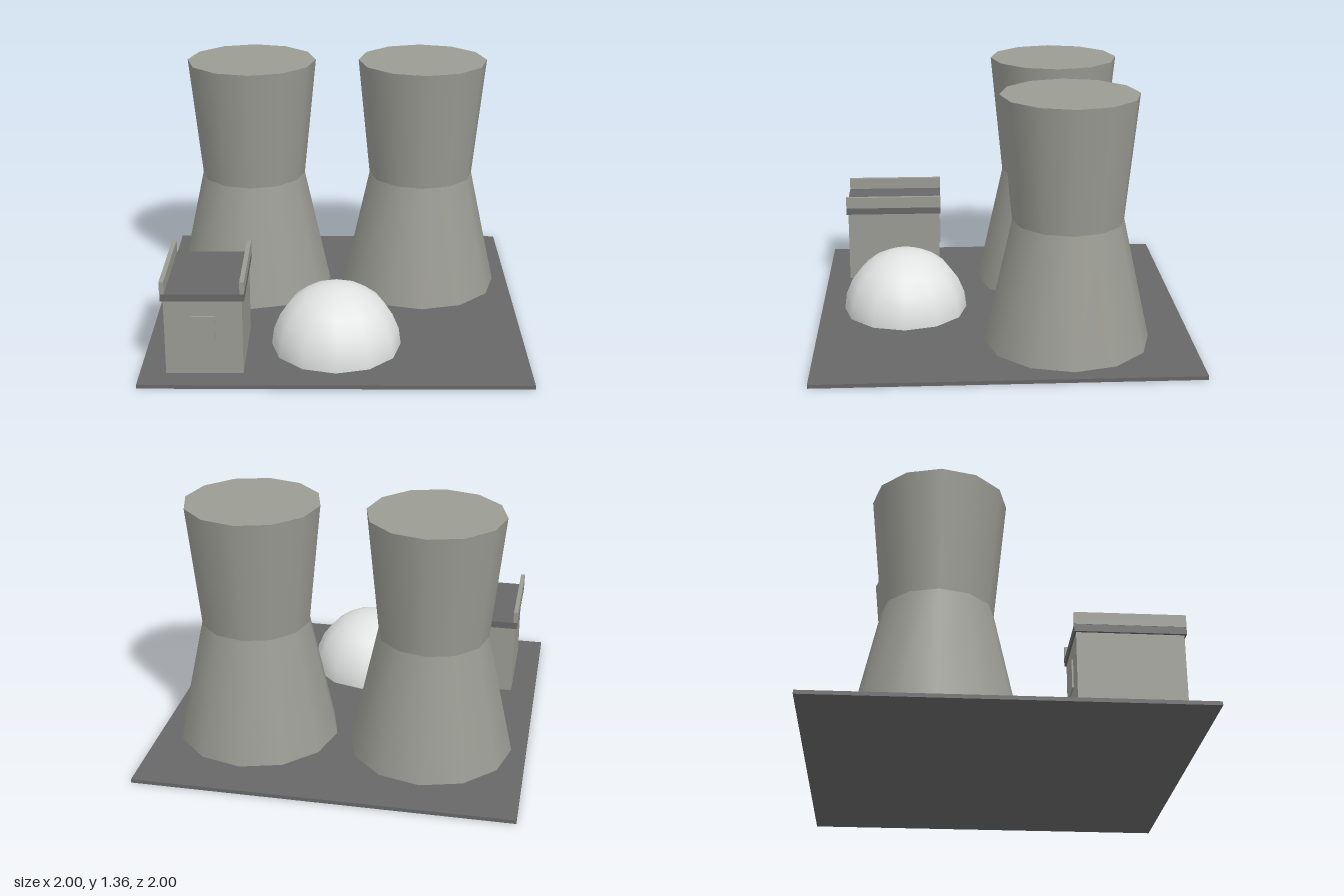
import * as THREE from 'three';

export function createModel() {
  const model = new THREE.Group();
  const concrete = new THREE.MeshStandardMaterial({ name: 'concrete', color: 0x9a9b93 });
  const asphalt = new THREE.MeshStandardMaterial({ name: 'asphalt', color: 0x676767 });
  const white = new THREE.MeshStandardMaterial({ name: 'domeWhite', color: 0xe0e3e1 });

  const add = (parent, name, geometry, material, x, y, z) => {
    const mesh = new THREE.Mesh(geometry, material);
    mesh.name = name;
    mesh.position.set(x, y, z);
    parent.add(mesh);
    return mesh;
  };

  // Box given by its minimum and maximum corners
  const box = (parent, name, material, [x0, y0, z0], [x1, y1, z1]) =>
    add(parent, name, new THREE.BoxGeometry(x1 - x0, y1 - y0, z1 - z0), material,
      (x0 + x1) / 2, (y0 + y1) / 2, (z0 + z1) / 2);

  const groundY = 0.02;
  box(model, 'groundSlab', asphalt, [-1, 0, -1], [1, groundY, 1]);

  // Cooling towers: flared skirt, waist crease and widening crown with a flat lid
  const SIDES = 12, waistY = 0.69, topY = 1.355;
  for (const side of [-1, 1]) {
    const tower = new THREE.Group();
    tower.name = side > 0 ? 'leftCoolingTower' : 'rightCoolingTower';
    tower.position.set(side * 0.48, 0, -0.335);
    add(tower, 'towerSkirt',
      new THREE.CylinderGeometry(0.293, 0.44, waistY - groundY, SIDES, 1, true),
      concrete, 0, (waistY + groundY) / 2, 0);
    add(tower, 'towerCrown',
      new THREE.CylinderGeometry(0.36, 0.293, topY - waistY, SIDES, 1, true),
      concrete, 0, (topY + waistY) / 2, 0);
    add(tower, 'towerLid', new THREE.CircleGeometry(0.36, SIDES), concrete, 0, topY, 0)
      .rotation.x = -Math.PI / 2;
    model.add(tower);
  }

  // Reactor dome
  add(model, 'reactorDome',
    new THREE.SphereGeometry(0.343, SIDES, 6, 0, Math.PI * 2, 0, Math.PI / 2),
    white, 0, groundY, 0.53);

  // Control building with overhanging roof, two parapets and a window at each end
  const building = new THREE.Group();
  building.name = 'controlBuilding';
  box(building, 'walls', concrete, [-0.865, groundY, 0.335], [-0.47, 0.425, 0.87]);
  box(building, 'roof', asphalt, [-0.878, 0.425, 0.325], [-0.458, 0.463, 0.88]);
  for (const x of [-0.88, -0.48]) {
    box(building, 'parapet', concrete, [x, 0.463, 0.325], [x + 0.023, 0.528, 0.88]);
  }
  for (const z of [0.327, 0.87]) {
    box(building, 'window', concrete, [-0.728, 0.19, z], [-0.608, 0.34, z + 0.009]);
  }
  model.add(building);

  return model;
}
